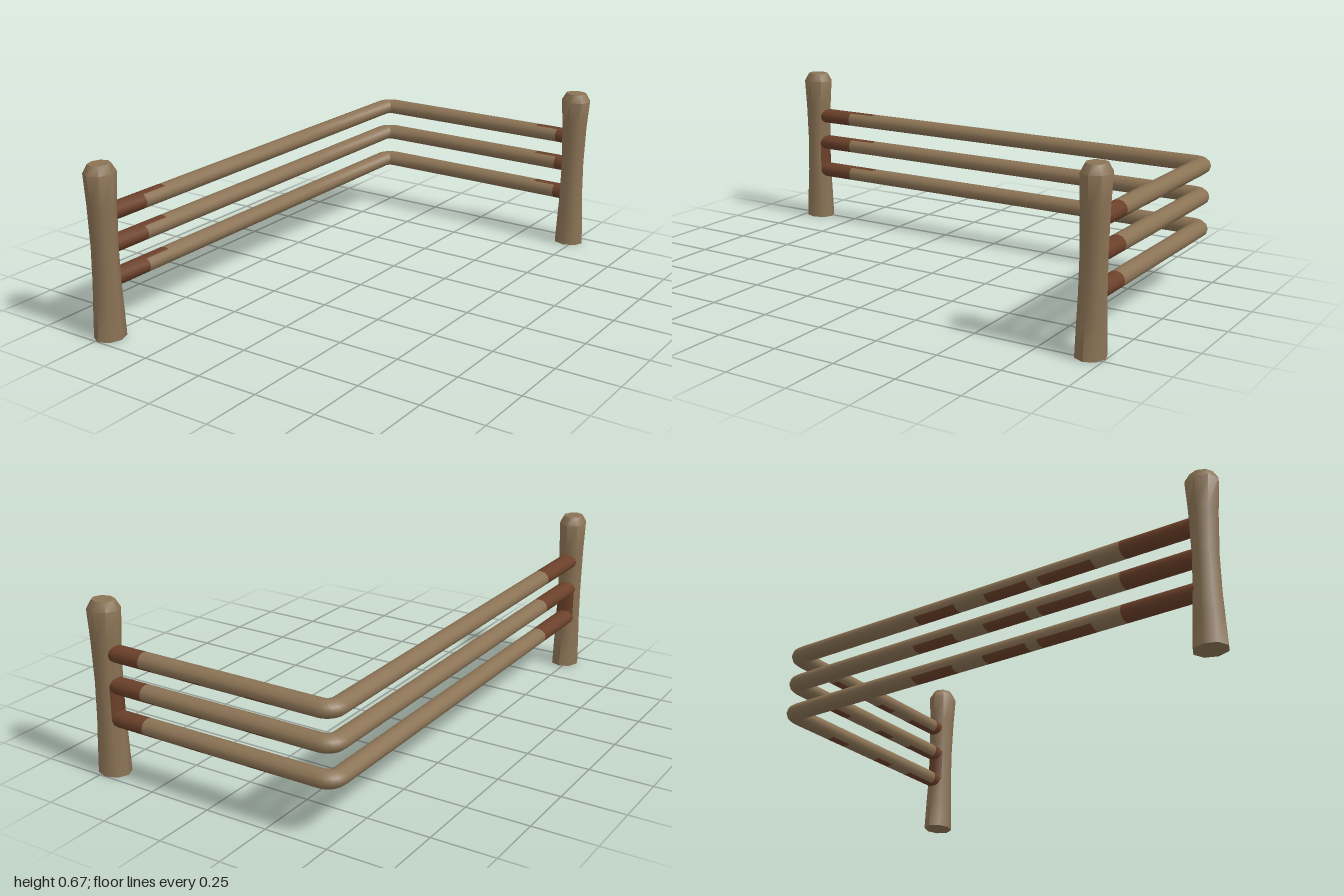
import * as THREE from 'three';
import { toCreasedNormals } from 'three/addons/utils/BufferGeometryUtils.js';

const wood = new THREE.MeshStandardMaterial({ color: 0x8b7355 });
wood.name = 'weathered wood';
const bark = new THREE.MeshStandardMaterial({ color: 0x6b4029 });
bark.name = 'brown bark';

// Skin a list of rings; isBark(i, j) picks the material of each facet
function loft(name, rings, isBark, crease) {
  const n = rings[0].length;
  const faces = [[], []];
  rings.slice(1).forEach((next, i) => {
    for (let j = 0; j < n; j++) {
      const a = i * n + j, b = i * n + (j + 1) % n;
      faces[isBark(i, j) ? 1 : 0].push(a, a + n, b, b, a + n, b + n);
    }
  });
  const last = (rings.length - 1) * n;
  for (let j = 1; j < n - 1; j++) {
    faces[0].push(0, j, j + 1, last, last + j + 1, last + j);
  }
  const geo = new THREE.BufferGeometry();
  geo.setAttribute('position', new THREE.Float32BufferAttribute(rings.flat(2), 3));
  geo.setIndex(faces.flat());
  geo.addGroup(0, faces[0].length, 0);
  geo.addGroup(faces[0].length, faces[1].length, 1);
  const mesh = new THREE.Mesh(toCreasedNormals(geo, crease), [wood, bark]);
  mesh.name = name;
  return mesh;
}

// Waisted eight-sided post; its wide axis is local x and its rails meet it at -x
function makePost(name) {
  const profile = [ // height, half length, half width
    [0, 0.065, 0.057], [0.12, 0.058, 0.055], [0.22, 0.051, 0.053], [0.36, 0.048, 0.052],
    [0.52, 0.055, 0.054], [0.64, 0.065, 0.057], [0.673, 0.045, 0.039],
  ];
  const rings = profile.map(([y, rx, rz]) => Array.from({ length: 8 }, (_, j) => {
    const a = j * Math.PI / 4;
    return [rx * Math.cos(a), y, rz * Math.sin(a)];
  }));
  return loft(name, rings, (i, j) => i === 2 && (j === 3 || j === 4), 0.85);
}

// Stations along the bent rail: centre x and z, direction to the inner side, half width
const C = { x: -0.445, z: -0.903, r: 0.042 };
const longZ = [0.905, 0.74, 0.62, 0.5, 0.27, 0.22, 0.03, -0.11, -0.3];
const shortX = [-0.26, -0.16, 0.03, 0.12, 0.24, 0.3, 0.4, 0.442];
const stations = longZ.map(z => ({ x: C.x - C.r, z, nx: 1, nz: 0, w: 0.0385 }));
for (let k = 0; k <= 6; k++) {
  const nx = Math.cos(k * Math.PI / 12), nz = Math.sin(k * Math.PI / 12);
  stations.push({ x: C.x - C.r * nx, z: C.z - C.r * nz, nx, nz, w: 0.0385 });
}
shortX.forEach((x, k) => stations.push({ x, z: C.z - C.r, nx: 0, nz: 1, w: 0.038 - 0.0005 * k }));

// Bark covers the ends of a rail and spots along its underside
function railBark(i, j) {
  const p = stations[i], q = stations[i + 1];
  const a = (j + 0.5) * Math.PI / 6;
  const inner = Math.cos(a) > 0.6;
  const under = j >= 7 && j <= 9;
  if (i < longZ.length - 1) {
    const end = inner ? 0.73 : 0.61;
    return q.z > end || (under && [3, 5, 7].includes(i));
  }
  const mid = (p.x + q.x) / 2;
  if (p.nz < 0.99) return false;
  if (mid > (inner ? 0.4 : 0.3)) return true;
  return under && ((mid > -0.26 && mid < -0.16) || (mid > 0.03 && mid < 0.12) || mid > 0.24);
}

function makeRail(name, y) {
  const rings = stations.map(s => Array.from({ length: 12 }, (_, j) => {
    const a = j * Math.PI / 6;
    const d = s.w * Math.cos(a);
    return [s.x + s.nx * d, y + 0.0325 * Math.sin(a), s.z + s.nz * d];
  }));
  return loft(name, rings, railBark, 0.85);
}

export function createModel() {
  const group = new THREE.Group();
  group.name = 'cornerFence';

  const frontPost = makePost('frontPost');
  frontPost.position.set(-0.485, 0, 0.935);
  frontPost.rotation.y = -Math.PI / 2;
  const backPost = makePost('backPost');
  backPost.position.set(0.475, 0, -0.943);
  group.add(frontPost, backPost);

  [['lowerRail', 0.223], ['middleRail', 0.353], ['upperRail', 0.477]]
    .forEach(([name, y]) => group.add(makeRail(name, y)));
  return group;
}
